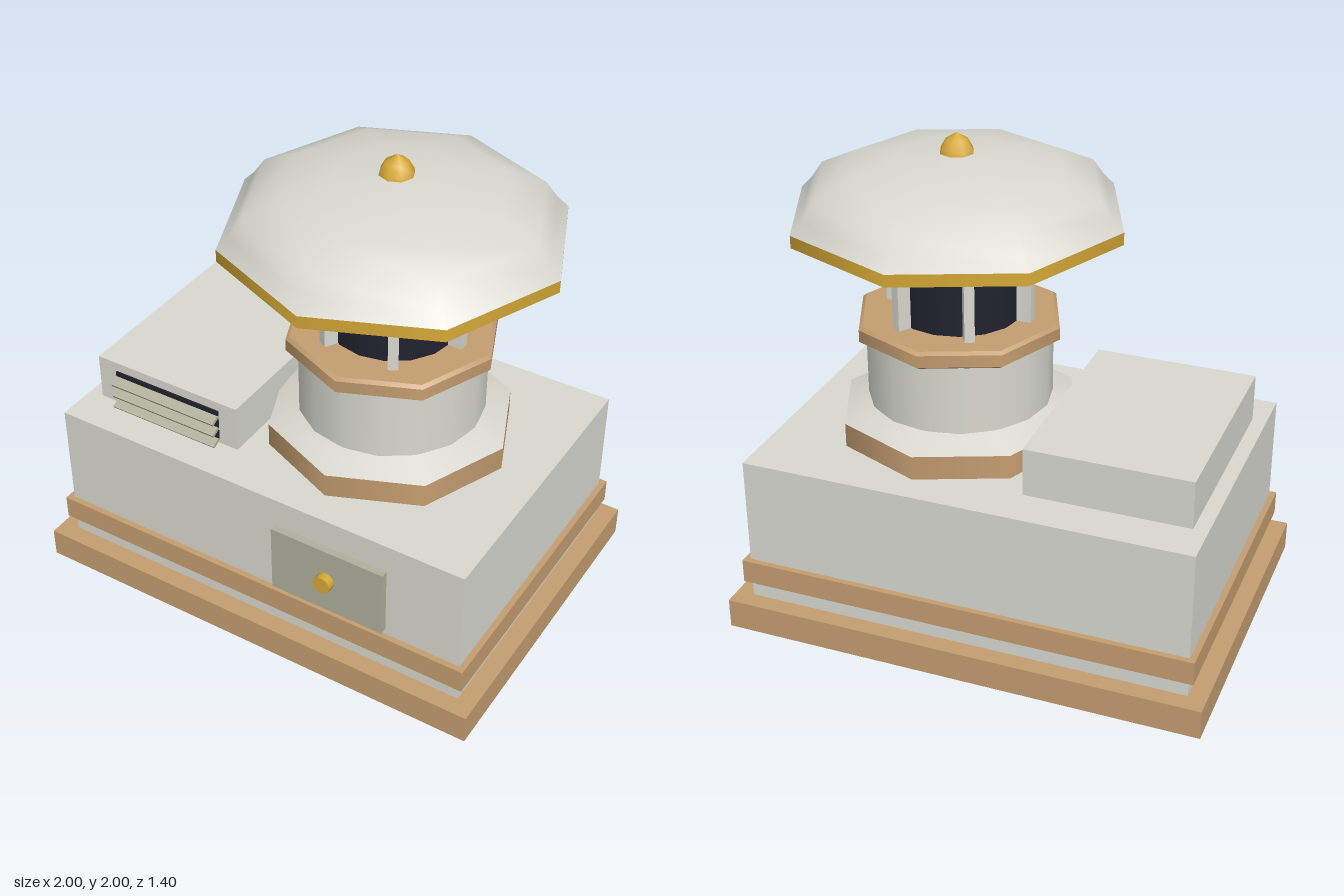
import * as THREE from 'three';

const material = (name, color) => {
  const m = new THREE.MeshStandardMaterial({ color });
  m.name = name;
  return m;
};

export function createModel() {
  const model = new THREE.Group();
  model.name = 'ventTower';

  const stone = material('pale stone', 0xd8d8d0);
  const tan = material('tan trim', 0xc49d70);
  const olive = material('grey olive', 0xb0b09c);
  const gold = material('gold', 0xd6a937);
  const dark = material('dark navy', 0x22222e);

  const add = (parent, name, geometry, mat, x = 0, y = 0, z = 0) => {
    const mesh = new THREE.Mesh(geometry, mat);
    mesh.name = name;
    mesh.position.set(x, y, z);
    parent.add(mesh);
    return mesh;
  };
  // Box given by its extents on each axis
  const box = (name, mat, [x0, x1], [y0, y1], [z0, z1]) =>
    add(model, name, new THREE.BoxGeometry(x1 - x0, y1 - y0, z1 - z0), mat,
      (x0 + x1) / 2, (y0 + y1) / 2, (z0 + z1) / 2);

  // Stepped base and main housing
  box('plinth', tan, [-1, 1], [0, 0.125], [-0.7, 0.7]);
  box('housing', stone, [-0.925, 0.925], [0.125, 0.75], [-0.625, 0.625]);
  box('trimBand', tan, [-0.95, 0.95], [0.2, 0.3], [-0.65, 0.65]);

  // Access hatch with round knob
  box('hatch', olive, [0.1, 0.6], [0.325, 0.625], [0.62, 0.655]);
  add(model, 'hatchKnob', new THREE.CylinderGeometry(0.038, 0.038, 0.04, 12), gold, 0.35, 0.48, 0.67)
    .rotation.x = Math.PI / 2;

  // Roof vent with louvres
  box('ventBox', stone, [-0.865, -0.19], [0.75, 0.95], [-0.45, 0.45]);
  box('ventOpening', dark, [-0.775, -0.275], [0.77, 0.91], [0.445, 0.458]);
  for (let i = 0; i < 3; i++) {
    add(model, 'louvre', new THREE.BoxGeometry(0.5, 0.014, 0.044), olive, -0.525, 0.762 + i * 0.056, 0.472)
      .rotation.x = 0.5;
  }

  // Tower: every ring shares one axis
  const tower = new THREE.Group();
  tower.name = 'tower';
  tower.position.x = 0.25;
  model.add(tower);
  const ring = (name, mat, rTop, rBottom, y0, y1, sides = 8, open = false) =>
    add(tower, name, new THREE.CylinderGeometry(rTop, rBottom, y1 - y0, sides, 1, open), mat, 0, (y0 + y1) / 2);
  const lathe = (name, mat, points) =>
    add(tower, name, new THREE.LatheGeometry(points.map(p => new THREE.Vector2(...p)), 8), mat);

  ring('towerFoot', tan, 0.5, 0.5, 0.75, 0.85);
  ring('towerSlope', stone, 0.375, 0.5, 0.85, 0.902);
  ring('drum', stone, 0.375, 0.375, 0.9, 1.2, 16);
  ring('collarUnderside', tan, 0.425, 0.4, 1.185, 1.2);
  ring('collar', tan, 0.425, 0.425, 1.2, 1.25);
  ring('collarTop', tan, 0.41, 0.425, 1.25, 1.262);
  ring('lanternCore', dark, 0.255, 0.255, 1.26, 1.63, 16);

  // Six radial posts around the lantern
  for (let i = 0; i < 6; i++) {
    const a = i * Math.PI / 3;
    add(tower, 'post', new THREE.BoxGeometry(0.06, 0.37, 0.04), stone,
      0.28 * Math.cos(a), 1.445, -0.28 * Math.sin(a)).rotation.y = a;
  }

  // Eight-sided canopy with gold rim and finial
  ring('canopyCeiling', stone, 0.62, 0.62, 1.626, 1.65);
  ring('rimUnderside', gold, 0.675, 0.625, 1.622, 1.64, 8, true);
  ring('rim', gold, 0.675, 0.675, 1.64, 1.69, 8, true);
  lathe('canopy', stone, [
    [0.675, 1.69], [0.63, 1.735], [0.58, 1.805], [0.44, 1.87], [0.23, 1.913], [0, 1.925],
  ]);
  lathe('finial', gold, [[0.07, 1.915], [0.066, 1.935], [0.045, 1.972], [0, 2]]);

  return model;
}
